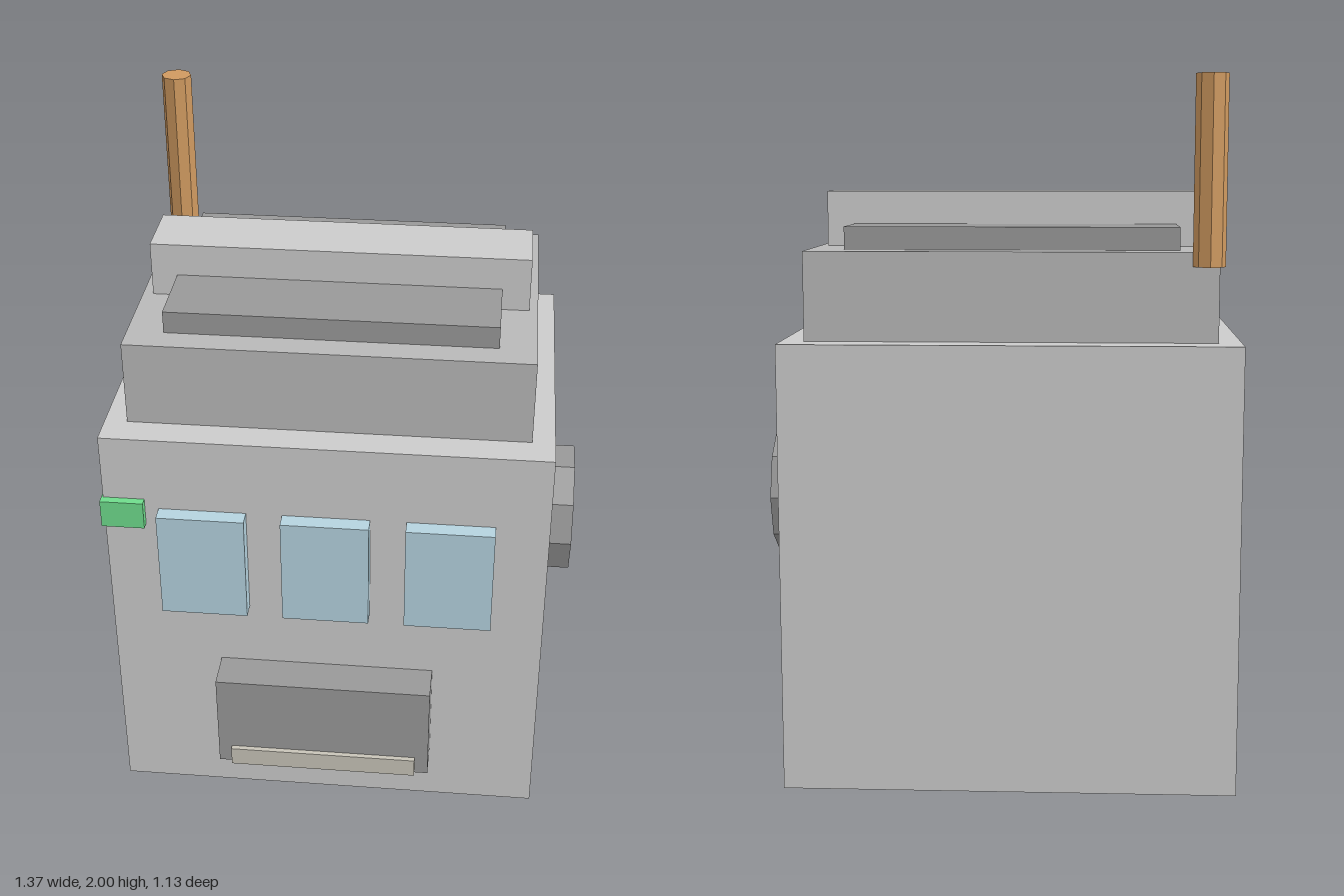
import * as THREE from 'three';

const material = (color) => new THREE.MeshStandardMaterial({ color, flatShading: true });

export function createModel() {
  const model = new THREE.Group();
  model.name = 'robotHead';

  const lightGrey = material(0xcccccc);
  const midGrey = material(0xb8b8b8);
  const darkGrey = material(0x999999);
  const glass = material(0xb5d3df);
  const green = material(0x6fdc8c);
  const copper = material(0xd09a60);
  const cream = material(0xc8c4b8);

  // Box given by its extents along each axis
  function box(name, mat, [x0, x1], [y0, y1], [z0, z1]) {
    const mesh = new THREE.Mesh(new THREE.BoxGeometry(x1 - x0, y1 - y0, z1 - z0), mat);
    mesh.position.set((x0 + x1) / 2, (y0 + y1) / 2, (z0 + z1) / 2);
    mesh.name = name;
    model.add(mesh);
  }

  function cylinder(name, mat, radius, height, sides, x, y, z) {
    const mesh = new THREE.Mesh(new THREE.CylinderGeometry(radius, radius, height, sides), mat);
    mesh.position.set(x, y, z);
    mesh.name = name;
    model.add(mesh);
    return mesh;
  }

  // Stepped body
  box('body', lightGrey, [-0.68, 0.6], [0, 1.27], [-0.565, 0.435]);
  box('upperTier', midGrey, [-0.615, 0.535], [1.27, 1.52], [-0.48, 0.34]);
  box('topPlate', darkGrey, [-0.51, 0.43], [1.52, 1.585], [-0.4, 0.26]);
  box('topBeam', lightGrey, [-0.585, 0.51], [1.52, 1.68], [-0.17, 0.03]);

  // Row of three front windows
  for (let i = 0; i < 3; i++) {
    const x = -0.52 + i * 0.357;
    box('window' + (i + 1), glass, [x, x + 0.253], [0.705, 1.04], [0.435, 0.483]);
  }

  // Tray housing with its lip
  box('tray', darkGrey, [-0.36, 0.28], [0.19, 0.5], [0.435, 0.55]);
  box('trayLip', cream, [-0.32, 0.24], [0.19, 0.25], [0.55, 0.565]);

  // Corner lamp, wrapping the front right edge
  box('cornerLamp', green, [-0.685, -0.56], [0.985, 1.07], [0.37, 0.46]);

  // Side dial and rear corner pipe
  cylinder('sideDial', darkGrey, 0.2, 0.08, 10, 0.64, 0.78, -0.065).rotation.z = -Math.PI / 2;
  cylinder('pipe', copper, 0.045, 0.52, 8, -0.585, 1.74, -0.48);

  return model;
}
